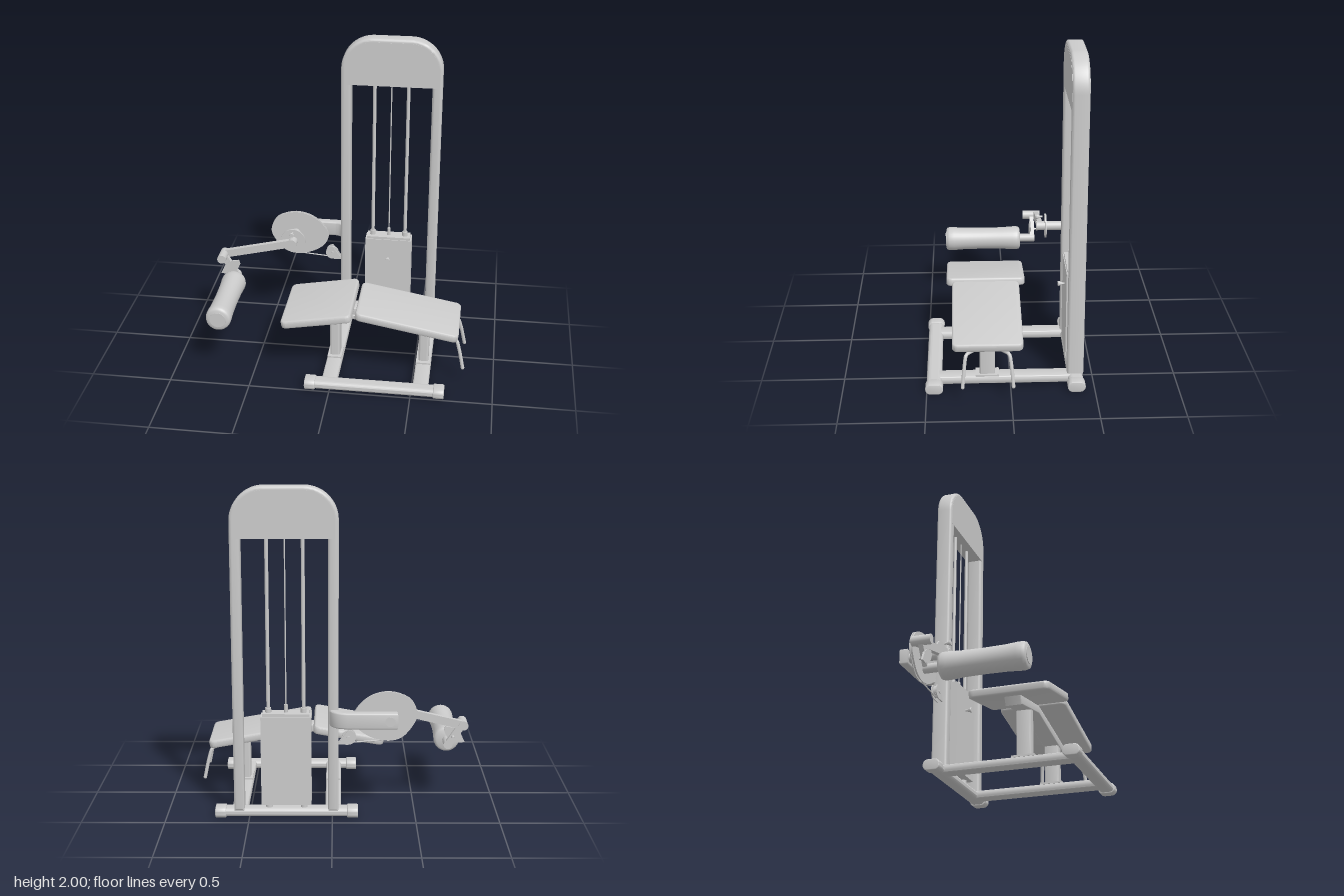
import * as THREE from 'three';
import { toCreasedNormals } from 'three/addons/utils/BufferGeometryUtils.js';

const V = (x, y, z) => new THREE.Vector3(x, y, z);

export function createModel() {
  const model = new THREE.Group();
  const mat = new THREE.MeshStandardMaterial({ color: 0xcccccc });

  function add(name, geo, x = 0, y = 0, z = 0) {
    const mesh = new THREE.Mesh(geo, mat);
    mesh.name = name;
    mesh.position.set(x, y, z);
    model.add(mesh);
    return mesh;
  }
  // Extrusion along z, centred, with the bevel kept inside the given depth
  function extrude(shape, depth, bevel = 0) {
    const g = new THREE.ExtrudeGeometry(shape, {
      depth: depth - 2 * bevel, curveSegments: 10, bevelEnabled: bevel > 0,
      bevelSize: bevel, bevelOffset: -bevel, bevelThickness: bevel, bevelSegments: 3,
    });
    g.translate(0, 0, -depth / 2 + bevel);
    return toCreasedNormals(g, 0.6);
  }
  function roundRect(w, h, r) {
    const s = new THREE.Shape(), x = w / 2, y = h / 2;
    s.absarc(x - r, y - r, r, 0, Math.PI / 2);
    s.absarc(-x + r, y - r, r, Math.PI / 2, Math.PI);
    s.absarc(-x + r, -y + r, r, Math.PI, Math.PI * 1.5);
    s.absarc(x - r, -y + r, r, Math.PI * 1.5, Math.PI * 2);
    return s;
  }
  const polygon = (pts) => new THREE.Shape(pts.map((p) => new THREE.Vector2(p[0], p[1])));
  // Cylinder along z between two depths
  const rodZ = (name, r, x, y, z0, z1) =>
    add(name, new THREE.CylinderGeometry(r, r, z1 - z0, 24).rotateX(Math.PI / 2), x, y, (z0 + z1) / 2);
  const rodY = (name, r, x, y0, y1, z) =>
    add(name, new THREE.CylinderGeometry(r, r, y1 - y0, 20), x, (y0 + y1) / 2, z);
  // Pull-pin knob facing +z
  function knob(name, x, y, z) {
    const pts = [[0, 0], [0.006, 0], [0.006, 0.012], [0.016, 0.036], [0.014, 0.042], [0, 0.042]];
    add(name, toCreasedNormals(new THREE.LatheGeometry(pts.map((p) => new THREE.Vector2(...p)), 16)
      .rotateX(Math.PI / 2), 0.6), x, y, z);
  }

  const postX = [-0.005, 0.558], backZ = -0.39, seatZ = 0.138;

  // Floor frame
  for (const [side, z] of [['front', 0.455], ['back', backZ]]) {
    add(side + 'BaseBar', extrude(roundRect(0.092, 0.054, 0.026), 0.82).rotateY(Math.PI / 2), 0.275, 0.035, z);
    for (const x of [-0.122, 0.672])
      add(side + 'BaseEndCap', extrude(roundRect(0.106, 0.068, 0.032), 0.066, 0.006).rotateY(Math.PI / 2), x, 0.034, z);
  }
  for (const x of postX)
    add('baseRail', extrude(roundRect(0.096, 0.05, 0.014), 0.82), x, 0.035, 0.03);

  // Tower frame: one inverted U
  const L = -0.037, R = 0.59, T = 2, w = 0.062, rad = 0.2;
  const u = new THREE.Shape();
  u.moveTo(L, 0.05);
  u.lineTo(L + w, 0.05);
  u.lineTo(L + w, T - rad);
  u.absarc(L + rad, T - rad, rad - w, Math.PI, Math.PI / 2, true);
  u.absarc(R - rad, T - rad, rad - w, Math.PI / 2, 0, true);
  u.lineTo(R - w, 0.05);
  u.lineTo(R, 0.05);
  u.lineTo(R, T - rad);
  u.absarc(R - rad, T - rad, rad, 0, Math.PI / 2);
  u.absarc(L + rad, T - rad, rad, Math.PI / 2, Math.PI);
  u.lineTo(L, 0.05);
  add('towerFrame', extrude(u, 0.1, 0.016), 0, 0, backZ);

  // Header panel closing the top of the tower
  const h = new THREE.Shape();
  const m = 0.022;
  h.moveTo(L + m, 1.7);
  h.lineTo(R - m, 1.7);
  h.lineTo(R - m, T - rad);
  h.absarc(R - rad, T - rad, rad - m, 0, Math.PI / 2);
  h.absarc(L + rad, T - rad, rad - m, Math.PI / 2, Math.PI);
  add('headerPanel', extrude(h, 0.102), 0, 0, backZ);

  // Weight stack, guide rods and cable
  add('weightStack', new THREE.BoxGeometry(0.3, 0.55, 0.096), 0.275, 0.365, backZ);
  add('weightStackTop', new THREE.BoxGeometry(0.28, 0.018, 0.085), 0.275, 0.648, backZ);
  for (const x of [0.17, 0.38]) {
    rodY('guideRod', 0.011, x, 0.62, 1.72, backZ);
    rodY('guideCollar', 0.018, x, 0.65, 0.685, backZ);
    rodY('guideFoot', 0.021, x, 0.05, 0.1, backZ);
  }
  rodY('liftCable', 0.004, 0.275, 0.65, 1.72, backZ);
  rodY('cableCollar', 0.011, 0.275, 0.65, 0.705, backZ);
  knob('weightPin', 0.275, 0.51, -0.343);

  // Bench posts, foot plates and angled beam
  postX.forEach((x, i) => {
    add('benchPost', extrude(roundRect(0.062, 0.092, 0.012), i ? 0.27 : 0.3).rotateX(Math.PI / 2), x, i ? 0.19 : 0.205, seatZ);
    add('postFootPlate', new THREE.BoxGeometry(0.09, 0.012, 0.14), x, 0.064, seatZ);
  });
  add('benchBeam', extrude(polygon([[-0.235, 0.368], [-0.21, 0.315], [0.125, 0.376], [0.68, 0.28],
    [0.7, 0.332], [0.125, 0.425]]), 0.1, 0.006), 0, 0, seatZ);

  // Upholstered pads
  function pad(name, len, wid, x, y, z, tilt) {
    const g = extrude(roundRect(len, wid, 0.035), 0.05, 0.012).rotateX(-Math.PI / 2);
    add(name, g, x, y, z).rotation.z = tilt;
  }
  pad('chestPad', 0.442, 0.49, -0.1, 0.413, 0.136, 0.178);
  pad('thighPad', 0.645, 0.415, 0.455, 0.394, 0.138, -0.178);

  // Hand grips, mirrored about the bench centre line
  for (const s of [1, -1]) {
    const path = new THREE.CatmullRomCurve3([V(0.66, 0.295, seatZ + s * 0.04), V(0.72, 0.298, seatZ + s * 0.09),
      V(0.76, 0.293, seatZ + s * 0.125), V(0.778, 0.245, seatZ + s * 0.135), V(0.808, 0.108, seatZ + s * 0.148)]);
    add('handGrip', new THREE.TubeGeometry(path, 24, 0.011, 10));
    const cap = new THREE.SphereGeometry(0.0115, 10, 8);
    add('handGripTip', cap, 0.808, 0.108, seatZ + s * 0.148);
  }

  // Curved support arm behind the tower
  const arm = new THREE.Shape();
  arm.moveTo(-0.385, 0.46);
  arm.lineTo(-0.09, 0.46);
  arm.quadraticCurveTo(-0.035, 0.455, -0.034, 0.4);
  arm.lineTo(0.022, 0.4);
  arm.quadraticCurveTo(0.015, 0.508, -0.09, 0.512);
  arm.lineTo(-0.385, 0.512);
  add('supportArm', extrude(arm, 0.098, 0.01).rotateX(-Math.PI / 2), 0, 0.636, 0);

  // Cam, pivot axle and range disc
  const px = -0.34, py = 0.635;
  const camPts = [[-0.493, 0.695], [-0.455, 0.747], [-0.34, 0.785], [-0.23, 0.76], [-0.15, 0.69], [-0.123, 0.625],
    [-0.15, 0.56], [-0.23, 0.505], [-0.335, 0.482], [-0.415, 0.505], [-0.483, 0.585], [-0.504, 0.637]];
  const outline = new THREE.CatmullRomCurve3(camPts.map((p) => V(p[0], p[1], 0)), true).getPoints(48);
  const camShape = (k) => polygon(outline.slice(0, -1).reverse().map((p) => [px + (p.x - px) * k, py + (p.y - py) * k]));
  for (const z of [-0.397, -0.383]) add('camFlange', extrude(camShape(1), 0.006), 0, 0, z);
  add('camCore', extrude(camShape(0.95), 0.012), 0, 0, backZ);
  rodZ('pivotAxle', 0.03, px, py, -0.515, -0.205);
  rodZ('rangeDisc', 0.08, px, py, -0.27, -0.26);
  knob('rangePin', px, 0.7, -0.245);

  // Cable and pulley beside the tower
  add('camCable', new THREE.TubeGeometry(new THREE.LineCurve3(V(-0.33, 0.486, backZ), V(-0.1, 0.468, backZ)), 1, 0.004, 8));
  rodZ('pulley', 0.037, -0.095, 0.505, -0.397, -0.383);
  for (const z of [-0.405, -0.375]) {
    const s = new THREE.Shape();
    s.moveTo(-0.03, 0.55);
    s.absarc(-0.095, 0.505, 0.045, Math.PI / 2, Math.PI * 1.5);
    s.lineTo(-0.03, 0.46);
    add('pulleyBracket', extrude(s, 0.007), 0, 0, z);
  }
  rodZ('pulleyBolt', 0.01, -0.095, 0.505, -0.414, -0.366);

  // Swing lever with its end hub
  const ex = -0.795, ey = 0.527;
  const lever = add('swingLever', extrude(roundRect(Math.hypot(px - ex, py - ey) + 0.05, 0.05, 0.024), 0.032),
    (px + ex) / 2, (py + ey) / 2, -0.23);
  lever.rotation.z = Math.atan2(py - ey, px - ex);
  rodZ('leverHub', 0.029, ex, ey, -0.255, -0.138);

  // Roller adjustment link
  const rx = -0.707, ry = 0.393;
  add('adjustPlate', extrude(polygon([[-0.81, 0.405], [-0.77, 0.4], [-0.7, 0.44], [-0.682, 0.478], [-0.69, 0.505],
    [-0.75, 0.495], [-0.785, 0.46]]), 0.012), 0, 0, -0.187);
  const link = add('rollerLink', extrude(roundRect(0.2, 0.045, 0.02), 0.028), (ex + rx) / 2, (ey + ry) / 2, -0.2);
  link.rotation.z = Math.atan2(ry - ey, rx - ex);
  knob('adjustPin', -0.735, 0.445, -0.235);
  rodZ('rollerShaft', 0.027, rx, ry, -0.215, -0.09);

  // Foam roller
  const foam = [[0, -0.252], [0.062, -0.252], [0.074, -0.246], [0.079, -0.23], [0.079, -0.2], [0.074, -0.13], [0.072, 0],
    [0.074, 0.13], [0.079, 0.2], [0.079, 0.23], [0.074, 0.246], [0.062, 0.252], [0, 0.252]];
  add('foamRoller', toCreasedNormals(new THREE.LatheGeometry(foam.map((p) => new THREE.Vector2(...p)), 32)
    .rotateX(Math.PI / 2), 0.9), rx, ry, 0.138);
  rodZ('rollerEndCap', 0.05, rx, ry, 0.385, 0.394);

  return model;
}
